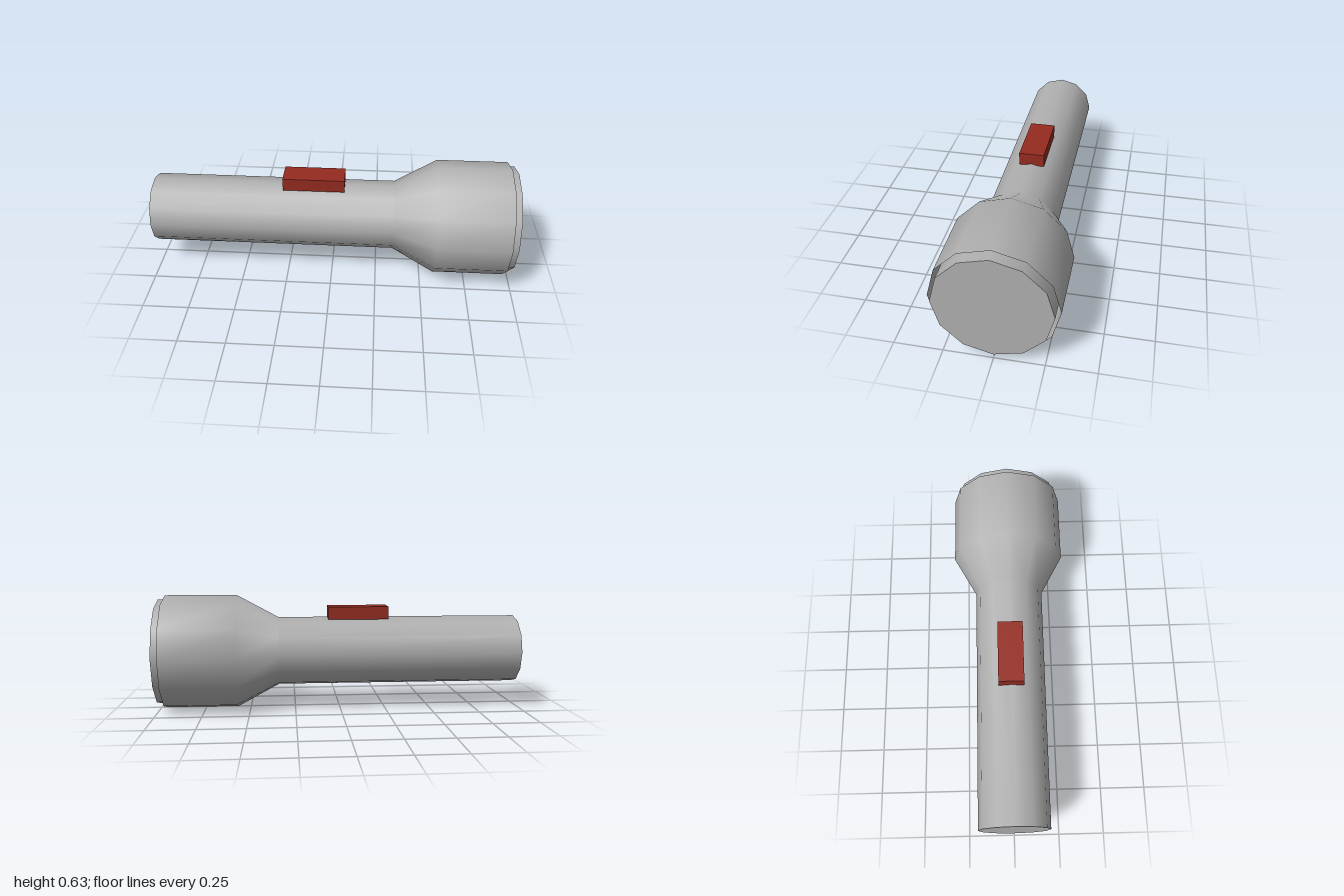
import * as THREE from 'three';

const SIDES = 12;
const AXIS_Y = 0.315;

export function createModel() {
  const metal = new THREE.MeshStandardMaterial({ color: 0xb0b0b0, side: THREE.DoubleSide });
  metal.name = 'greyMetal';
  const red = new THREE.MeshStandardMaterial({ color: 0x962b20 });
  red.name = 'redSwitch';

  const group = new THREE.Group();
  group.name = 'flashlight';
  const add = (name, geometry, material, x, y = AXIS_Y) => {
    const mesh = new THREE.Mesh(geometry, material);
    mesh.name = name;
    mesh.position.set(x, y, 0);
    group.add(mesh);
  };

  // Handle flaring into an open-fronted head, turned so its axis runs along x
  const profile = [[0.19, -1], [0.19, 0.34], [0.315, 0.57], [0.315, 0.963]]
    .map(([r, x]) => new THREE.Vector2(r, x));
  add('handleAndHead', new THREE.LatheGeometry(profile, SIDES).rotateZ(-Math.PI / 2), metal, 0);

  // Flat end of the handle
  add('endCap', new THREE.CircleGeometry(0.19, SIDES).rotateY(-Math.PI / 2), metal, -1);

  // Lens disc, leaving a narrow gap inside the head's rim
  add('lens', new THREE.CylinderGeometry(0.292, 0.292, 0.1, SIDES).rotateZ(-Math.PI / 2), metal, 0.95);

  // Sliding switch on top
  add('switch', new THREE.BoxGeometry(0.336, 0.07, 0.136), red, -0.103, 0.53);

  return group;
}
